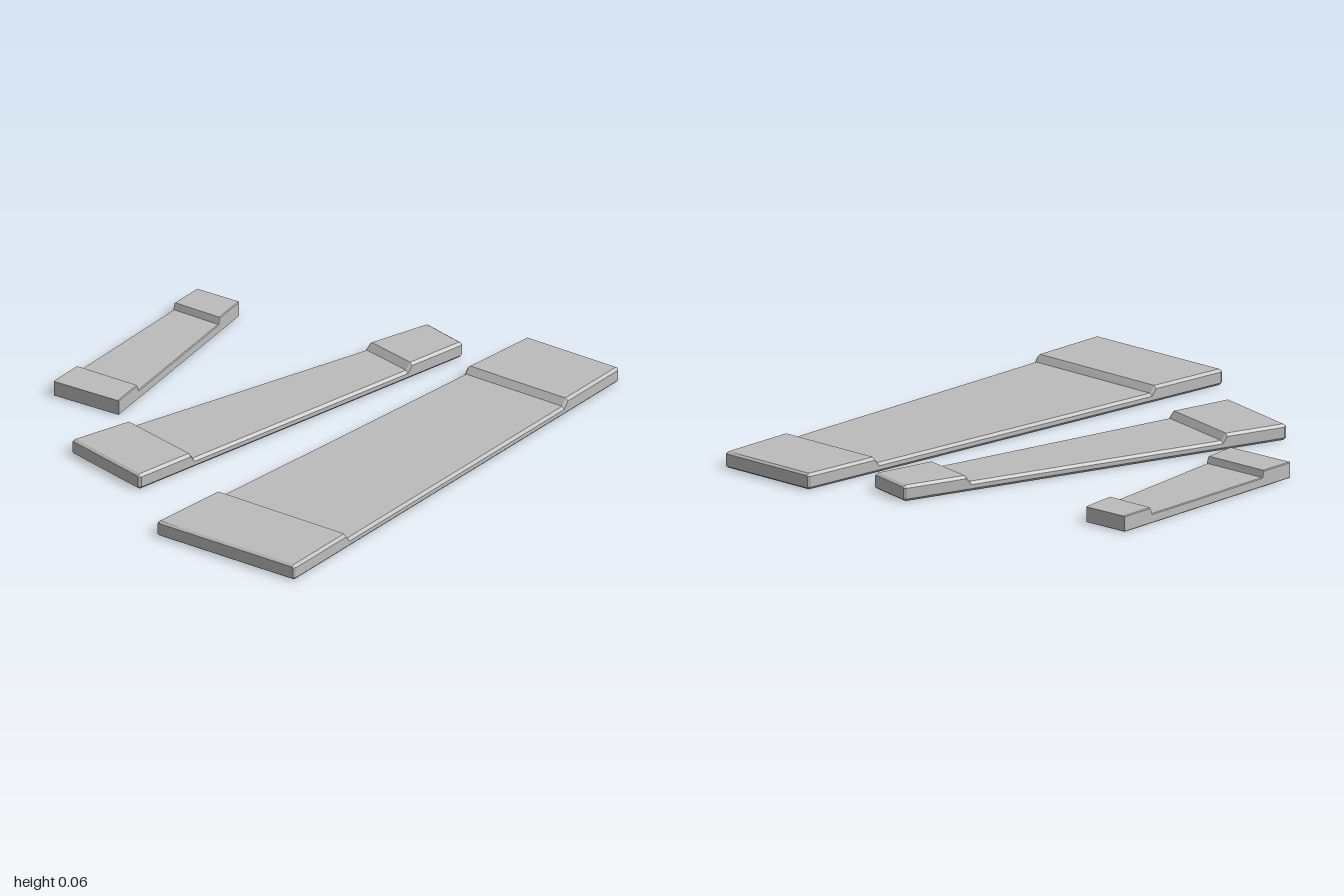
import * as THREE from 'three';

const TOP = 0.06, LOW = 0.035;

// Each plank: back edge [x0,z0,x1,z1], front edge [x0,z0,x1,z1], bevel,
// and step lines as [x on back edge, x on front edge, height]
const planks = [
  {
    name: 'largePlank', back: [-1, 0.25, 0.945, 0.26], front: [-0.925, 0.85, 0.992, 0.665], bevel: 0.01,
    steps: [[-0.685, -0.62, TOP], [-0.665, -0.602, LOW], [0.615, 0.665, LOW], [0.635, 0.685, TOP]],
  },
  {
    name: 'mediumPlank', back: [-0.737, -0.4, 0.78, -0.07], front: [-0.782, -0.03, 0.755, 0.125], bevel: 0.01,
    steps: [[-0.5, -0.538, TOP], [-0.482, -0.52, LOW], [0.515, 0.493, LOW], [0.535, 0.513, TOP]],
  },
  {
    name: 'smallPlank', back: [-0.45, -0.75, 0.422, -0.855], front: [-0.405, -0.475, 0.45, -0.675], bevel: 0.003,
    steps: [[-0.31, -0.274, TOP], [-0.302, -0.265, LOW], [0.279, 0.302, LOW], [0.287, 0.311, TOP]],
  },
];

function pointOnEdge([x0, z0, x1, z1], x) {
  return new THREE.Vector3(x, 0, z0 + (z1 - z0) * (x - x0) / (x1 - x0));
}

// Eight-sided bevelled section running from the back edge to the front edge
function section(plank, [xBack, xFront, h], inset) {
  const a = pointOnEdge(plank.back, xBack), c = pointOnEdge(plank.front, xFront);
  const b = plank.bevel, w = a.distanceTo(c);
  const outline = [[0, b], [b, 0], [w - b, 0], [w, b], [w, h - b], [w - b, h], [b, h], [0, h - b]];
  return outline.map(([s, y]) => {
    const p = a.clone().lerp(c, THREE.MathUtils.clamp(s, inset, w - inset) / w);
    p.y = THREE.MathUtils.clamp(y, inset, h - inset);
    return p;
  });
}

// Joins the sections into a closed, faceted solid
function plankGeometry(plank) {
  const { back, front, bevel: b, steps } = plank;
  const rings = [
    section(plank, [back[0], front[0], TOP], b * 0.7),
    section(plank, [back[0] + b, front[0] + b, TOP], 0),
    ...steps.map((s) => section(plank, s, 0)),
    section(plank, [back[2] - b, front[2] - b, TOP], 0),
    section(plank, [back[2], front[2], TOP], b * 0.7),
  ];
  const points = [], n = 8, last = rings[rings.length - 1];
  for (let r = 0; r < rings.length - 1; r++) {
    for (let i = 0; i < n; i++) {
      const j = (i + 1) % n, p = rings[r], q = rings[r + 1];
      points.push(p[i], q[i], q[j], p[i], q[j], p[j]);
    }
  }
  // End caps
  for (let i = 1; i < n - 1; i++) {
    points.push(rings[0][0], rings[0][i], rings[0][i + 1]);
    points.push(last[0], last[i + 1], last[i]);
  }
  const geometry = new THREE.BufferGeometry().setFromPoints(points);
  geometry.computeVertexNormals();
  return geometry;
}

export function createModel() {
  const group = new THREE.Group();
  group.name = 'steppedPlanks';
  const grey = new THREE.MeshStandardMaterial({ color: 0xbcbcbc });
  grey.name = 'plain grey';
  for (const plank of planks) {
    const mesh = new THREE.Mesh(plankGeometry(plank), grey);
    mesh.name = plank.name;
    group.add(mesh);
  }
  return group;
}
